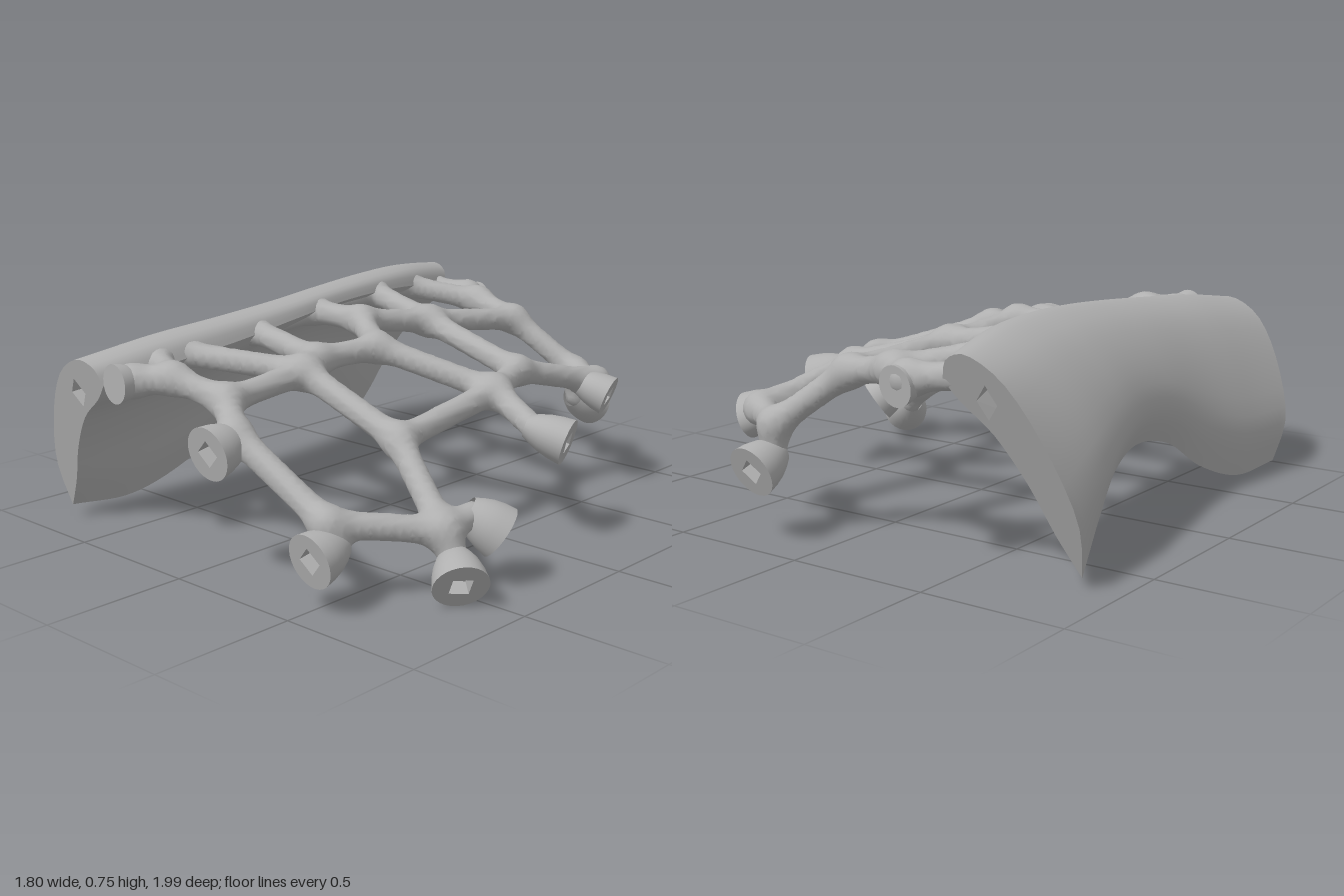
import * as THREE from 'three';

const V = (x, y, z) => new THREE.Vector3(x, y, z);
const UP = V(0, 1, 0);

// Smoothly blended network of round bars, meshed on a regular grid
function blendedBars(bars, radius, blend, low, high, step) {
  const [nx, ny, nz] = high.clone().sub(low).toArray().map((d) => Math.ceil(d / step) + 1);
  const stride = [1, nx, nx * ny];
  const field = new Float32Array(nx * ny * nz);
  const lines = bars.map(([a, b]) => new THREE.Line3(a, b));
  const p = V(0, 0, 0), q = V(0, 0, 0);
  const eachPoint = (from, trim, visit) => {
    for (let k = from; k < nz - trim; k++) {
      for (let j = from; j < ny - trim; j++) {
        for (let i = from; i < nx - trim; i++) visit(i + nx * (j + ny * k), i, j, k);
      }
    }
  };
  eachPoint(0, 0, (id, i, j, k) => {
    p.set(i, j, k).multiplyScalar(step).add(low);
    let sum = 0;
    for (const line of lines) {
      sum += Math.exp(-line.closestPointToPoint(p, true, q).distanceTo(p) / blend);
    }
    field[id] = -blend * Math.log(sum) - radius;
  });

  // one vertex in every cell the surface crosses
  const vertexOf = new Map(), positions = [], index = [];
  const bit = (c, n) => (c >> n) & 1;
  const corner = (id, c) => field[id + bit(c, 0) + bit(c, 1) * nx + bit(c, 2) * nx * ny];
  eachPoint(0, 1, (id, i, j, k) => {
    let count = 0;
    p.set(0, 0, 0);
    for (let a = 0; a < 8; a++) {
      for (let n = 0; n < 3; n++) {
        if (bit(a, n)) continue;
        const fa = corner(id, a), fb = corner(id, a | (1 << n));
        if ((fa < 0) === (fb < 0)) continue;
        q.set(bit(a, 0), bit(a, 1), bit(a, 2));
        q.setComponent(n, fa / (fa - fb));
        p.add(q);
        count++;
      }
    }
    if (!count) return;
    vertexOf.set(id, positions.length / 3);
    p.divideScalar(count).add(q.set(i, j, k)).multiplyScalar(step).add(low);
    positions.push(p.x, p.y, p.z);
  });
  // one quad around every grid edge the surface crosses
  eachPoint(1, 1, (id) => {
    for (let n = 0; n < 3; n++) {
      const inside = field[id] < 0;
      if (inside === (field[id + stride[n]] < 0)) continue;
      const u = stride[(n + 1) % 3], v = stride[(n + 2) % 3];
      const quad = [id, id - u, id - u - v, id - v].map((c) => vertexOf.get(c));
      if (!inside) quad.reverse();
      index.push(quad[0], quad[1], quad[2], quad[0], quad[2], quad[3]);
    }
  });
  const geometry = new THREE.BufferGeometry();
  geometry.setAttribute('position', new THREE.Float32BufferAttribute(positions, 3));
  geometry.setIndex(index);
  geometry.computeVertexNormals();
  return geometry;
}

export function createModel() {
  const model = new THREE.Group();
  const grey = new THREE.MeshStandardMaterial({ color: 0xb0b0b0, side: THREE.DoubleSide });
  grey.name = 'plain grey';
  const add = (name, geometry, parent = model) => {
    const mesh = new THREE.Mesh(geometry, grey);
    mesh.name = name;
    parent.add(mesh);
  };

  // ---- Curved shell: one profile swept between a top rail and a bottom rail ----
  const topRail = new THREE.CatmullRomCurve3([
    V(-.42, .625, .985), V(-.4, .665, .68), V(-.385, .69, .4), V(-.385, .715, .12),
    V(-.41, .735, -.15), V(-.44, .743, -.4), V(-.49, .735, -.67), V(-.56, .70, -.95)]);
  const bottomRail = new THREE.CatmullRomCurve3([
    V(-.755, .05, .86), V(-.725, .04, .62), V(-.695, .12, .38), V(-.685, .25, .15),
    V(-.705, .3, -.1), V(-.755, .27, -.32), V(-.82, .18, -.52), V(-.87, .04, -.7)]);
  const vec2 = (pts) => pts.map((p) => new THREE.Vector2(...p));
  const curve2 = (pts) => new THREE.SplineCurve(vec2(pts)).getPoints(20);
  const outer = curve2([[-.1, .9], [0, 1], [.26, 1.03], [.61, .91], [.9, .64], [1.09, .29], [1, 0]]);
  const inner = curve2([[1, 0], [.8, .2], [.61, .44], [.35, .66], [.05, .8], [-.1, .9]]);
  const profile = [...outer, ...inner];

  const onShell = (s, u, v) => {
    const t = topRail.getPoint(s), b = bottomRail.getPoint(s);
    const bulge = .1 * Math.sin(Math.PI * s ** 1.5) * Math.sin(Math.PI * Math.min(v, 1));
    return [t.x + (b.x - t.x) * (u + bulge), b.y + (t.y - b.y) * v, b.z + (t.z - b.z) * v];
  };

  const steps = 48, n = profile.length, positions = [], index = [];
  for (let i = 0; i <= steps; i++) {
    for (const p of profile) positions.push(...onShell(i / steps, p.x, p.y));
  }
  for (let i = 0; i < steps; i++) {
    for (let j = 0; j < n - 1; j++) {
      if (j === outer.length - 1) continue;
      const a = i * n + j, b = a + n;
      index.push(a, b, a + 1, b, b + 1, a + 1);
    }
  }
  const shell = new THREE.BufferGeometry();
  shell.setAttribute('position', new THREE.Float32BufferAttribute(positions, 3));
  shell.setIndex(index);
  shell.computeVertexNormals();
  add('curvedShell', shell);

  // End faces of the shell, each with a square socket
  const socketUV = [[.24, .82], [.38, .90], [.47, .81], [.33, .73]];
  for (const [name, s, into] of [['shellFrontEnd', 0, .04], ['shellBackEnd', 1, .96]]) {
    const shape = new THREE.Shape([...outer, ...inner.slice(1, -1)]);
    shape.holes.push(new THREE.Path(vec2(socketUV)));
    const cap = new THREE.ShapeGeometry(shape);
    const pos = cap.attributes.position;
    for (let i = 0; i < pos.count; i++) pos.setXYZ(i, ...onShell(s, pos.getX(i), pos.getY(i)));
    if (s === 0) cap.setIndex([...cap.index.array].reverse());
    cap.computeVertexNormals();
    add(name, cap);

    const corners = [s, into].flatMap((k) => socketUV.map((p) => onShell(k, ...p)));
    const socket = new THREE.BufferGeometry();
    socket.setAttribute('position', new THREE.Float32BufferAttribute(corners.flat(), 3));
    const faces = [4, 5, 6, 4, 6, 7];
    for (let i = 0; i < 4; i++) {
      const j = (i + 1) % 4;
      faces.push(i, j, i + 4, j, j + 4, i + 4);
    }
    if (s === 1) faces.reverse();
    socket.setIndex(faces);
    const flat = socket.toNonIndexed();
    flat.computeVertexNormals();
    add(name + 'Socket', flat);
  }

  // ---- Branching lattice ----
  const nodes = {
    // rim of the shell, where branches run in
    s0: V(-.59, .645, -.87), s1: V(-.53, .675, -.66), s2: V(-.48, .685, -.42), s3: V(-.435, .67, -.04),
    s4: V(-.43, .645, .27), s5: V(-.44, .615, .61), s6: V(-.445, .605, .7), s7: V(-.46, .57, .91),
    // free junctions
    a0: V(-.39, .62, -.91), a1: V(-.27, .62, -.83), a2: V(-.05, .58, -.78), a3: V(.2, .39, -.86),
    a4: V(.37, .4, -.75), b0: V(-.14, .62, -.37), b1: V(.3, .5, -.35), c0: V(-.2, .66, -.06),
    c1: V(0, .61, .07), c2: V(.38, .48, -.12), d0: V(-.05, .6, .32), d1: V(-.01, .58, .42),
    d2: V(.41, .42, .41), e0: V(0, .55, .78), e1: V(-.2, .6, .83), e2: V(.13, .48, .86),
    e3: V(.51, .27, .84), e4: V(.71, .22, .54), f0: V(-.3, .59, .92),
  };
  const links = [
    's0-s1', 's1-s2', 's2-s3', 's3-s4', 's4-s5', 's5-s6', 's6-s7', 's7-f0', 'f0-e1',
    's0-a0', 'a0-a1', 'a1-s1', 'a1-a2', 'a2-a3', 'a3-a4', 'a2-b0', 'b0-s2', 'b0-b1', 'b1-a4',
    'b0-c0', 'c0-s3', 'c0-c1', 'c1-c2', 'b1-c2', 'c1-d0', 'd0-s4', 'd0-d1', 'd1-s5', 'd1-d2',
    'd2-c2', 'd1-e0', 'e0-e1', 'e1-s6', 'e0-e2', 'e2-e3', 'e3-e4', 'e4-d2',
  ];
  const bars = links.map((link) => link.split('-').map((key) => nodes[key]));

  // ---- Flared feet with flat faces and square sockets ----
  const R = .09, square = [[0, .045], [.045, 0], [0, -.045], [-.045, 0]];
  const flare = new THREE.LatheGeometry(
    vec2([[.045, -.13], [.06, -.105], [.074, -.075], [.084, -.04], [R, 0]]), 28);
  const disc = (withSocket) => {
    const shape = new THREE.Shape().absarc(0, 0, R, 0, Math.PI * 2);
    if (withSocket) shape.holes.push(new THREE.Path(vec2(square)));
    return new THREE.ShapeGeometry(shape, 14).rotateX(-Math.PI / 2);
  };
  const pocket = new THREE.LatheGeometry(
    vec2([[.045, 0], [.045, -.05], [0, -.05]]), 4).toNonIndexed();
  pocket.computeVertexNormals();

  // start node, face centre, face direction, size, flattening, socket
  const feet = [
    ['e2', V(.13, .44, .975), V(0, -.17, 1), 1, 1, true],
    ['e3', V(.53, .18, .935), V(-.05, -.2, 1), 1, 1, true],
    ['e4', V(.835, .085, .6), V(.65, -.45, .5), 1, 1, true],
    ['e4', V(.785, .18, .35), V(.6, -.58, -.55), 1, 1, true],
    ['c2', V(.71, .36, -.105), V(.88, -.3, -.36), 1.15, .78, true],
    ['a4', V(.455, .36, -.72), V(.82, -.35, -.3), 1.05, .8, true],
    ['a3', V(.21, .25, -.965), V(.05, -.36, -.93), 1, 1, true],
    ['f0', V(-.31, .59, .985), V(-.1, 0, 1), .74, 1, false],
    ['a0', V(-.38, .6, -.96), V(.1, -.1, -1), .72, 1, false],
  ];
  for (const [start, centre, direction, size, flatten, hasSocket] of feet) {
    const normal = direction.normalize();
    const foot = new THREE.Group();
    foot.name = 'foot';
    foot.position.copy(centre);
    foot.quaternion.setFromUnitVectors(UP, normal);
    foot.scale.set(size * flatten, size, size);
    model.add(foot);
    add('footFlare', flare, foot);
    add('footFace', disc(hasSocket), foot);
    if (hasSocket) add('footSocket', pocket, foot);
    bars.push([nodes[start], centre.clone().addScaledVector(normal, -.105 * size)]);
  }

  add('lattice', blendedBars(bars, .043, .016, V(-.72, .05, -1.06), V(.86, .82, 1.06), .018));
  return model;
}
